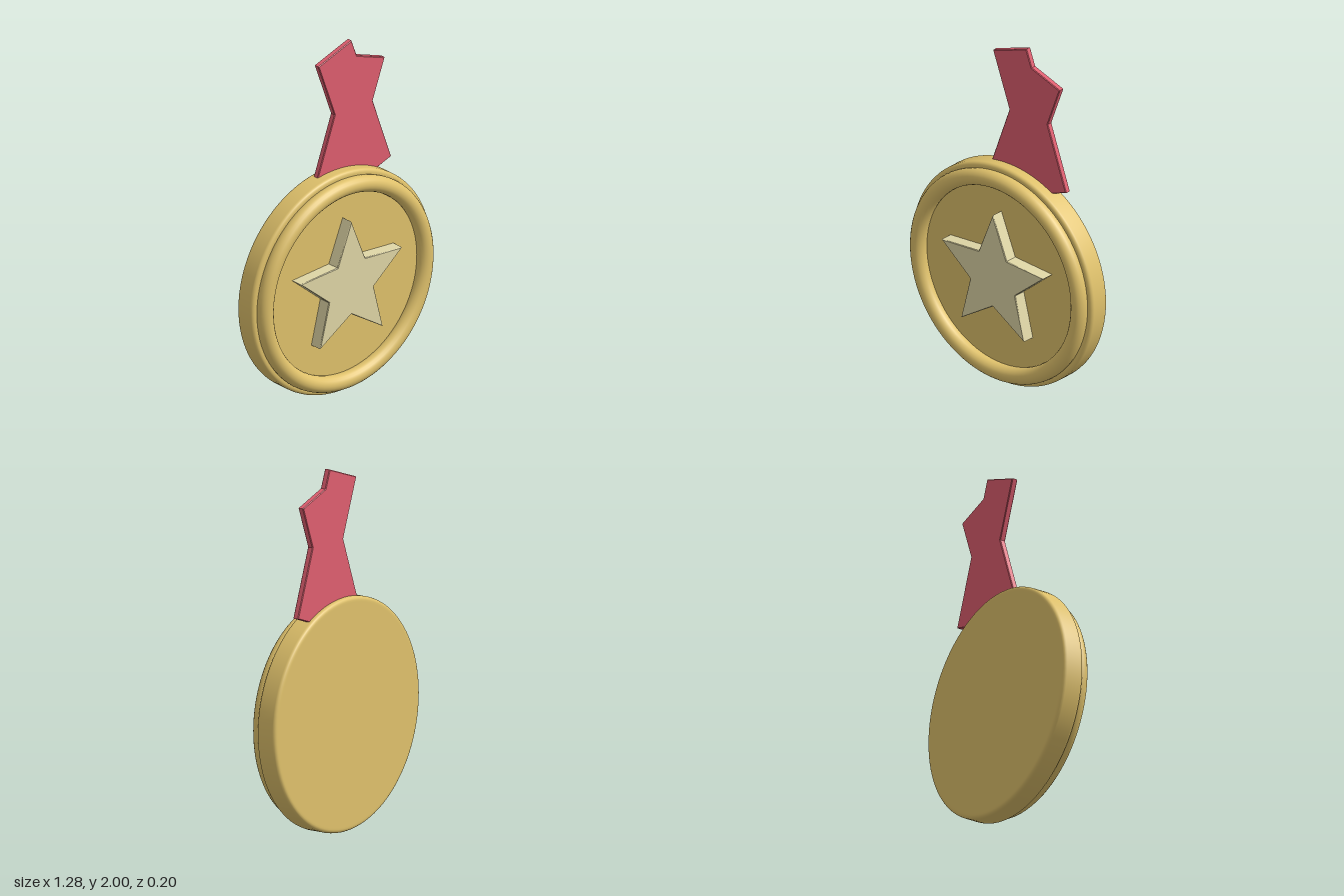
import * as THREE from 'three';

const CENTRE_Y = 0.64;

function material(name, color) {
  const m = new THREE.MeshStandardMaterial({ color });
  m.name = name;
  return m;
}

// Flat outline extruded between two depths, with a fine bevel inside the outline
function plate(points, back, front) {
  const bevel = 0.004;
  const shape = new THREE.Shape(points.map(([x, y]) => new THREE.Vector2(x, y)));
  const geometry = new THREE.ExtrudeGeometry(shape, {
    depth: front - back - 2 * bevel,
    bevelEnabled: true,
    bevelThickness: bevel,
    bevelSize: bevel,
    bevelOffset: -bevel,
    bevelSegments: 1,
  });
  return geometry.translate(0, 0, back + bevel);
}

export function createModel() {
  const group = new THREE.Group();
  group.name = 'medal';

  const gold = material('gold', 0xdfc16b);
  const paleGold = material('pale gold', 0xdfd6a6);
  const red = material('ribbon red', 0xde5e6f);

  function add(name, geometry, mat, y = 0, z = 0) {
    const mesh = new THREE.Mesh(geometry, mat);
    mesh.name = name;
    mesh.position.set(0, y, z);
    group.add(mesh);
  }

  // Disc with rounded edges, turned to face the front
  const R = 0.638, back = -0.1, front = 0.025, round = 0.02;
  const profile = [new THREE.Vector2(0, back), new THREE.Vector2(R - round - 0.01, back)];
  for (const [z, start] of [[back + round, -Math.PI / 2], [front - round, 0]]) {
    for (let i = 0; i <= 4; i++) {
      const a = start + (i / 4) * Math.PI / 2;
      profile.push(new THREE.Vector2(R - round + round * Math.cos(a), z + round * Math.sin(a)));
    }
  }
  profile.push(new THREE.Vector2(R - round - 0.01, front), new THREE.Vector2(0, front));
  add('disc', new THREE.LatheGeometry(profile, 96).rotateX(Math.PI / 2), gold, CENTRE_Y);

  // Raised rim
  add('rim', new THREE.TorusGeometry(0.565, 0.046, 20, 96), gold, CENTRE_Y, 0.044);

  // Five-pointed star
  const star = [];
  for (let i = 0; i < 10; i++) {
    const a = Math.PI / 2 + (i * Math.PI) / 5;
    const r = i % 2 ? 0.166 : 0.376;
    star.push([r * Math.cos(a), r * Math.sin(a)]);
  }
  add('star', plate(star, 0.01, 0.097), paleGold, 0.645);

  // Two crossed ribbon strips as one outline, lower ends sunk into the disc
  const ribbon = [
    [0.12, 2.0], [-0.115, 1.917], [0.0, 1.6], [-0.163, 1.15], [0.075, 1.065],
    [0.135, 1.23], [0.165, 1.15], [0.4, 1.235], [0.27, 1.6], [0.355, 1.83], [0.157, 1.9],
  ];
  add('ribbon', plate(ribbon, -0.072, -0.038), red);

  return group;
}
